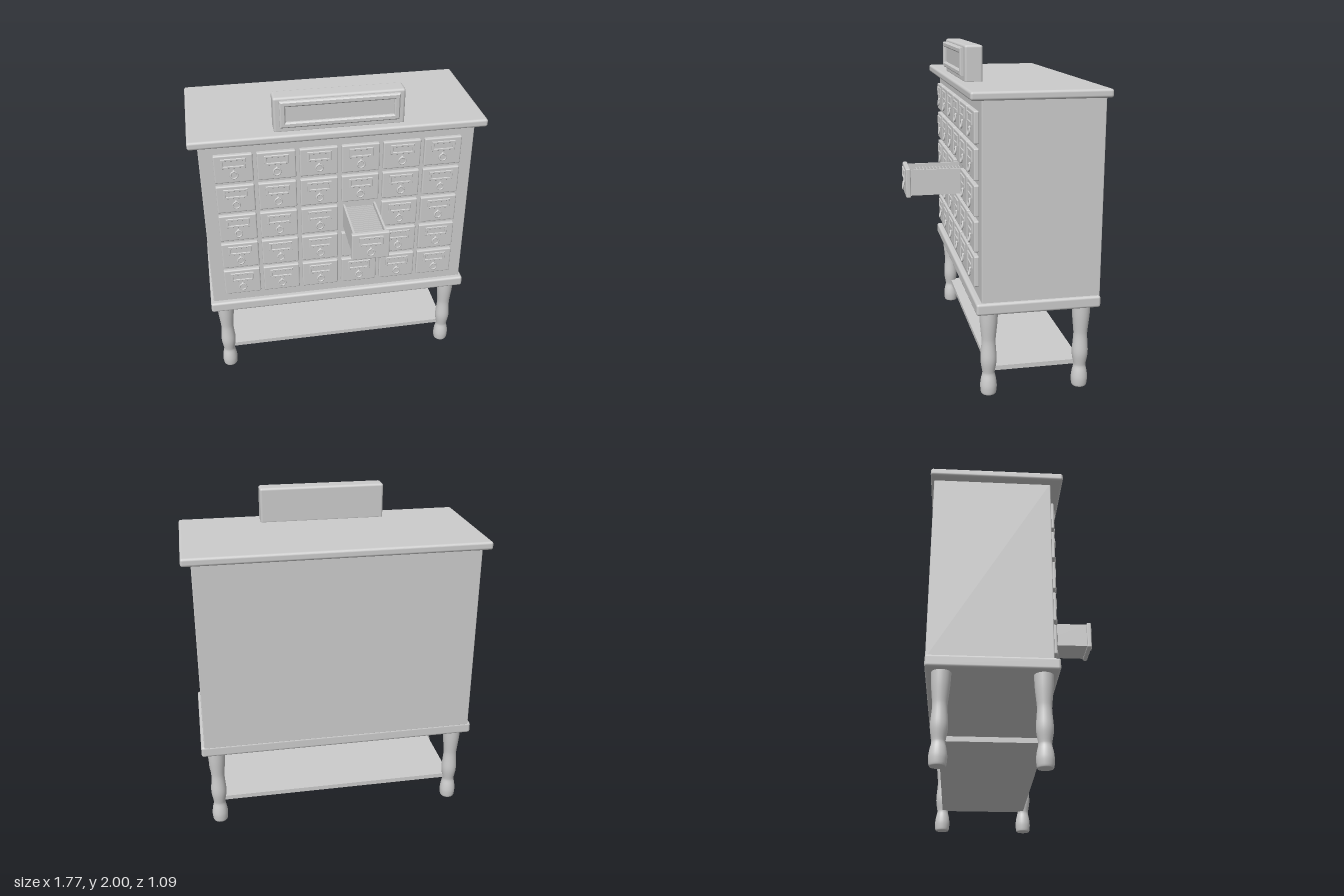
import * as THREE from 'three';
import { RoundedBoxGeometry } from 'three/addons/geometries/RoundedBoxGeometry.js';

const grey = new THREE.MeshStandardMaterial({ color: 0xcccccc });
grey.name = 'plain grey';

function add(parent, name, geometry, x = 0, y = 0, z = 0) {
  const mesh = new THREE.Mesh(geometry, grey);
  mesh.name = name;
  mesh.position.set(x, y, z);
  parent.add(mesh);
  return mesh;
}

// Box given by its limits, with optional rounded edges
function block(parent, name, [x0, x1], [y0, y1], [z0, z1], r = 0) {
  const w = x1 - x0, h = y1 - y0, d = z1 - z0;
  const geometry = r ? new RoundedBoxGeometry(w, h, d, 2, r) : new THREE.BoxGeometry(w, h, d);
  return add(parent, name, geometry, (x0 + x1) / 2, (y0 + y1) / 2, (z0 + z1) / 2);
}

function rectangle(target, w, h) {
  target.moveTo(-w / 2, -h / 2);
  target.lineTo(w / 2, -h / 2);
  target.lineTo(w / 2, h / 2);
  target.lineTo(-w / 2, h / 2);
  target.closePath();
  return target;
}

// Rectangular frame standing in the xy plane
function frameGeometry(w, h, border, depth, bevel) {
  const shape = rectangle(new THREE.Shape(), w - 2 * bevel, h - 2 * bevel);
  shape.holes.push(rectangle(new THREE.Path(), w - 2 * border, h - 2 * border));
  return new THREE.ExtrudeGeometry(shape, {
    depth: depth - bevel, bevelEnabled: true, bevelSize: bevel, bevelThickness: bevel, bevelSegments: 1,
  });
}

const W = 0.23, H = 0.183;
const frontGeometry = new RoundedBoxGeometry(W, H, 0.03, 2, 0.008);
const labelFrame = frameGeometry(0.145, 0.062, 0.012, 0.008, 0.002);
const labelCard = new THREE.BoxGeometry(0.125, 0.042, 0.004);
const ringGeometry = new THREE.TorusGeometry(0.021, 0.005, 8, 20);
const mountGeometry = new THREE.SphereGeometry(0.009, 10, 8);

// Drawer face with label holder and ring pull; back of the face at z = 0
function drawerFace() {
  const face = new THREE.Group();
  face.name = 'drawerFace';
  add(face, 'drawerFront', frontGeometry, 0, 0, 0.013);
  add(face, 'labelHolder', labelFrame, 0, 0.04, 0.028);
  add(face, 'labelCard', labelCard, 0, 0.04, 0.028);
  add(face, 'pullMount', mountGeometry, 0, -0.014, 0.031);
  add(face, 'pullRing', ringGeometry, 0, -0.036, 0.037).rotation.x = -0.1;
  return face;
}

// Pulled-out tray filled with index cards, reaching back from z = 0
function openTray(length) {
  const tray = new THREE.Group();
  tray.name = 'openTray';
  const hw = 0.102, hh = 0.08;
  for (const s of [-1, 1]) {
    const inner = s * (hw - 0.012), outer = s * hw;
    block(tray, 'traySide', [Math.min(inner, outer), Math.max(inner, outer)], [-hh, hh], [-length, 0]);
  }
  block(tray, 'trayBottom', [-hw, hw], [-hh, -hh + 0.012], [-length, 0]);
  block(tray, 'trayBack', [-hw, hw], [-hh, hh], [-length, -length + 0.012]);
  const card = new THREE.BoxGeometry(0.176, 0.128, 0.006);
  for (let z = -0.045; z > -length + 0.03; z -= 0.021) {
    add(tray, 'indexCard', card, 0, -0.004, z).rotation.x = -0.12;
  }
  const rod = add(tray, 'cardRod', new THREE.CylinderGeometry(0.004, 0.004, length, 8), 0, -0.05, -length / 2);
  rod.rotation.x = Math.PI / 2;
  return tray;
}

export function createModel() {
  const model = new THREE.Group();
  model.name = 'cardCabinet';

  // Carcass
  block(model, 'cabinetBody', [-0.828, 0.828], [0.58, 1.75], [-0.525, 0.172], 0.006);
  block(model, 'cabinetTop', [-0.884, 0.884], [1.741, 1.79], [-0.545, 0.242], 0.015);
  block(model, 'baseMoulding', [-0.847, 0.847], [0.522, 0.592], [-0.527, 0.205], 0.015);

  // Turned legs and the shelf between them
  const profile = [[0.055, 0.53], [0.054, 0.5], [0.051, 0.44], [0.044, 0.37], [0.041, 0.33], [0.044, 0.28],
    [0.048, 0.23], [0.046, 0.19], [0.038, 0.145], [0.037, 0.125], [0.044, 0.095], [0.049, 0.06],
    [0.049, 0.035], [0.046, 0.008], [0.042, 0]].reverse();
  const points = new THREE.SplineCurve(profile.map(([r, y]) => new THREE.Vector2(r, y))).getPoints(32);
  points.unshift(new THREE.Vector2(0, 0));
  const legGeometry = new THREE.LatheGeometry(points, 24);
  const legX = 0.757, legFront = 0.119, legBack = -0.437;
  for (const x of [-legX, legX]) {
    for (const z of [legFront, legBack]) add(model, 'leg', legGeometry, x, 0, z);
  }
  block(model, 'lowerShelf', [-legX, legX], [0.137, 0.165], [legBack, legFront]);

  // Drawers: six columns, five rows, one pulled out
  for (let row = 0; row < 5; row++) {
    for (let col = 0; col < 6; col++) {
      const open = row === 2 && col === 3;
      const face = drawerFace();
      face.position.set((col - 2.5) * 0.2525, 0.752 + row * 0.2067, open ? 0.502 : 0.172);
      if (open) face.add(openTray(0.36));
      model.add(face);
    }
  }

  // Sign board on top
  const sign = new THREE.Group();
  sign.name = 'signBoard';
  block(sign, 'signBlock', [-0.385, 0.385], [1.78, 2.0], [0.08, 0.188], 0.015);
  add(sign, 'signFrame', frameGeometry(0.7, 0.164, 0.026, 0.026, 0.008), 0, 1.902, 0.186);
  block(sign, 'signPanel', [-0.326, 0.326], [1.842, 1.962], [0.185, 0.194]);
  model.add(sign);

  return model;
}
